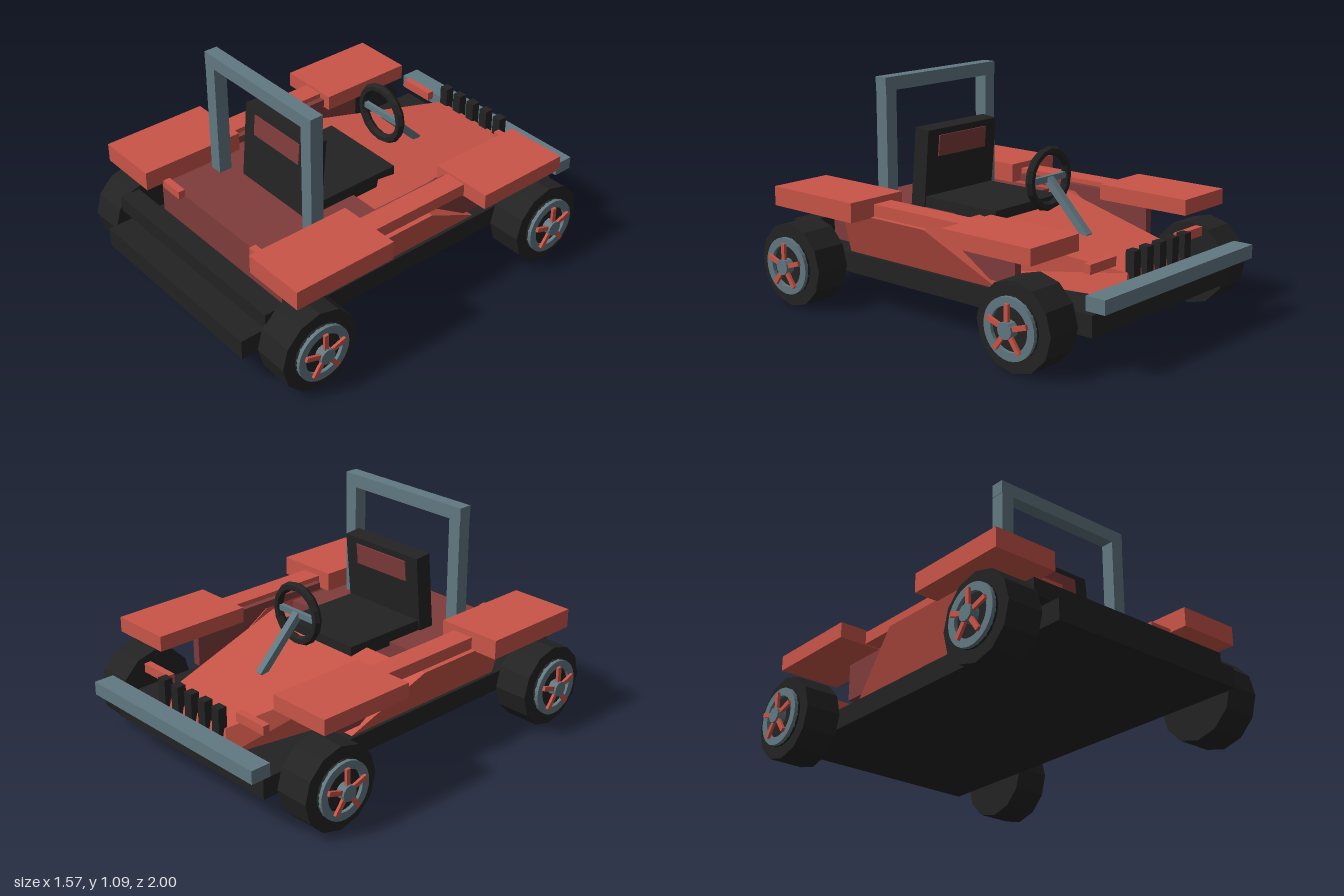
import * as THREE from 'three';

const mat = (name, color) => {
  const m = new THREE.MeshStandardMaterial({ color });
  m.name = name;
  return m;
};

export function createModel() {
  const root = new THREE.Group();
  root.name = 'buggy';
  const red = mat('body red', 0xca5548);
  const maroon = mat('dark red', 0x803c3c);
  const black = mat('black', 0x232323);
  const steel = mat('steel grey', 0x627982);

  const add = (name, geo, m, parent = root) => {
    const mesh = new THREE.Mesh(geo, m);
    mesh.name = name;
    parent.add(mesh);
    return mesh;
  };
  // Box from its extents
  const box = (name, m, x0, x1, y0, y1, z0, z1, parent = root) => {
    const b = add(name, new THREE.BoxGeometry(x1 - x0, y1 - y0, z1 - z0), m, parent);
    b.position.set((x0 + x1) / 2, (y0 + y1) / 2, (z0 + z1) / 2);
    return b;
  };
  // Box given on the left side and mirrored to the right
  const pair = (name, m, x0, x1, ...rest) => {
    box(name + 'Left', m, x0, x1, ...rest);
    box(name + 'Right', m, -x1, -x0, ...rest);
  };
  // Box with eight moved corners: corner(sx, sy, sz) returns [x, y, z]
  const hexa = (corner) => {
    const g = new THREE.BoxGeometry(2, 2, 2).toNonIndexed();
    const p = g.attributes.position;
    for (let i = 0; i < p.count; i++) p.setXYZ(i, ...corner(p.getX(i), p.getY(i), p.getZ(i)));
    g.computeVertexNormals();
    return g;
  };

  // Chassis, bumpers and tub
  box('floor', black, -0.52, 0.52, 0.157, 0.255, -0.905, 1);
  box('rearBumper', black, -0.56, 0.56, 0.295, 0.372, 0.8, 0.9);
  box('frontBumper', steel, -0.56, 0.56, 0.285, 0.35, -1, -0.9);
  box('tub', maroon, -0.455, 0.455, 0.28, 0.46, 0.13, 0.73);
  box('tubBase', red, -0.47, 0.47, 0.255, 0.28, 0.13, 0.6);

  // Tapered bonnet with sloping sides
  add('bonnet', hexa((sx, sy, sz) => {
    if (sz > 0) return sy > 0 ? [sx * 0.415, 0.48, -0.02] : [sx * 0.435, 0.255, 0.03];
    return sy > 0 ? [sx * 0.22, 0.36, -0.86] : [sx * 0.26, 0.255, -0.885];
  }), red);
  for (let i = -2; i <= 2; i++) {
    box('grilleSlat', black, i * 0.095 - 0.024, i * 0.095 + 0.024, 0.3, 0.46, -0.89, -0.845);
  }

  // Flared side pods with raked ends
  for (const s of [1, -1]) {
    const side = s > 0 ? 'Left' : 'Right';
    add('sidePod' + side, hexa((sx, sy, sz) => {
      const outer = sx * s > 0;
      const x = outer ? (sy > 0 ? 0.6 : 0.505) : 0.455;
      const z = sz > 0 ? (sy > 0 ? 0.51 : 0.56) : (sy > 0 ? -0.02 : -0.38);
      return [s * x, sy > 0 ? 0.48 : 0.257, z];
    }), red);
    // Dark panel on the rear end of the pod
    add('podRearPanel' + side, hexa((sx, sy, sz) => {
      const x = sx * s > 0 ? (sy > 0 ? 0.586 : 0.512) : 0.5;
      const z = (sy > 0 ? 0.513 : 0.552) + sz * 0.003;
      return [s * x, sy > 0 ? 0.47 : 0.295, z];
    }), maroon);
  }
  pair('podFrontPanel', maroon, 0.46, 0.5, 0.29, 0.48, -0.47, 0);

  // Mudguards, rails and lamps
  pair('rearFender', red, 0.395, 0.718, 0.475, 0.568, 0.32, 0.85);
  pair('frontFender', red, 0.397, 0.712, 0.473, 0.548, -0.735, -0.24);
  pair('sideRail', red, 0.465, 0.575, 0.48, 0.538, -0.24, 0.32);
  pair('railEdge', maroon, 0.435, 0.465, 0.48, 0.515, -0.24, 0.3);
  pair('rearLamp', red, 0.27, 0.4, 0.45, 0.49, 0.725, 0.76);
  pair('frontLamp', red, 0.24, 0.42, 0.388, 0.432, -0.815, -0.78);

  // Seat
  box('seatCushion', black, -0.23, 0.23, 0.44, 0.512, -0.12, 0.4);
  const back = new THREE.Group();
  back.name = 'seatBack';
  back.position.set(0, 0.65, 0.355);
  back.rotation.x = -0.09;
  root.add(back);
  box('backrest', black, -0.238, 0.238, -0.195, 0.19, -0.043, 0.043, back);
  box('backrestPad', maroon, -0.163, 0.163, 0.055, 0.158, -0.049, 0.049, back);

  // Roll bar
  pair('rollBarPost', steel, 0.312, 0.378, 0.45, 1.025, 0.43, 0.497);
  box('rollBarTop', steel, -0.38, 0.38, 1.025, 1.09, 0.43, 0.497);

  // Steering wheel, spoke bar and column
  const rim = add('steeringWheel', new THREE.TorusGeometry(0.132, 0.022, 6, 16), black);
  rim.material = black;
  rim.geometry = rim.geometry.toNonIndexed();
  rim.geometry.computeVertexNormals();
  rim.position.set(0, 0.645, -0.242);
  box('steeringSpoke', steel, -0.12, 0.12, 0.63, 0.66, -0.252, -0.232);
  const column = box('steeringColumn', steel, -0.018, 0.018, -0.018, 0.018, -0.165, 0.165);
  column.position.set(0, 0.527, -0.358);
  column.rotation.x = -0.79;

  // Wheels: tyre, rim ring, five spokes and hub, built facing +x
  const disc = (r, len, n) => {
    const g = new THREE.CylinderGeometry(r, r, len, n).toNonIndexed();
    g.rotateZ(-Math.PI / 2);
    g.computeVertexNormals();
    return g;
  };
  const ringShape = new THREE.Shape().absarc(0, 0, 0.138, 0, Math.PI * 2, false);
  ringShape.holes.push(new THREE.Path().absarc(0, 0, 0.1, 0, Math.PI * 2, true));
  const ringGeo = new THREE.ExtrudeGeometry(ringShape, { depth: 0.02, bevelEnabled: false, curveSegments: 16 });
  ringGeo.rotateY(Math.PI / 2);
  const tyreGeo = disc(0.202, 0.175, 12);
  const coverGeo = disc(0.14, 0.012, 16);
  const hubGeo = disc(0.038, 0.055, 12);
  const spokeGeo = new THREE.BoxGeometry(0.014, 0.095, 0.022);
  spokeGeo.translate(0, 0.065, 0);

  for (const z of [0.74, -0.658]) {
    const axle = add('axle', disc(0.025, 1.12, 10), steel);
    axle.position.set(0, 0.203, z);
    for (const s of [1, -1]) {
      const wheel = new THREE.Group();
      wheel.name = (z > 0 ? 'rear' : 'front') + 'Wheel' + (s > 0 ? 'Left' : 'Right');
      wheel.position.set(s * 0.643, 0.202, z);
      wheel.rotation.y = s > 0 ? 0 : Math.PI;
      root.add(wheel);
      add('tyre', tyreGeo, black, wheel);
      add('wheelCover', coverGeo, black, wheel).position.x = 0.092;
      add('rimRing', ringGeo, steel, wheel).position.x = 0.095;
      add('hub', hubGeo, steel, wheel).position.x = 0.115;
      for (let i = 0; i < 5; i++) {
        const spoke = add('spoke', spokeGeo, red, wheel);
        spoke.position.x = 0.126;
        spoke.rotation.x = (i * Math.PI * 2) / 5;
      }
    }
  }
  return root;
}
